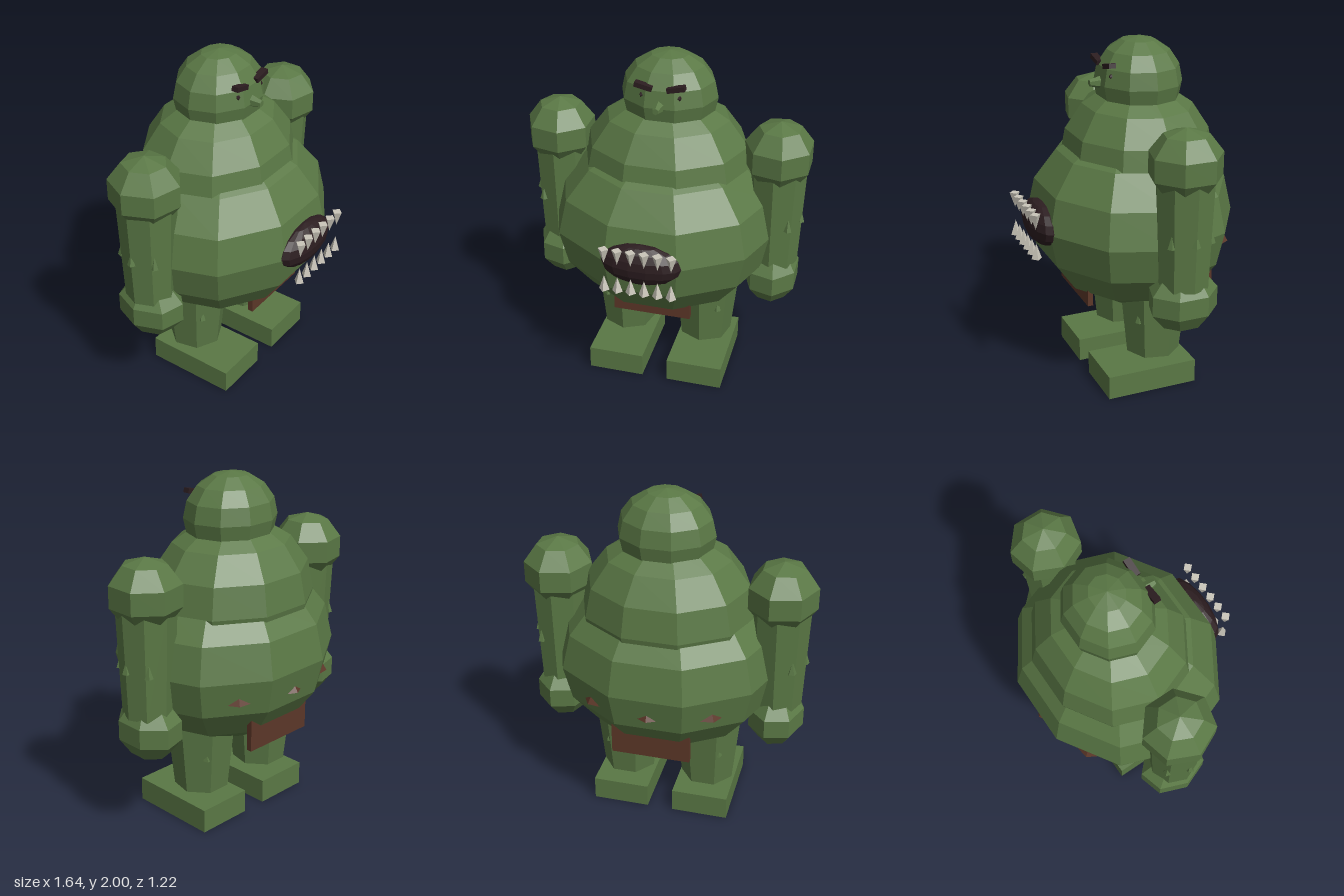
import * as THREE from 'three';

const mat = (name, color) => Object.assign(
  new THREE.MeshStandardMaterial({ color, flatShading: true }), { name });

export function createModel() {
  const skin = mat('green skin', 0x5a7845);
  const dark = mat('dark mouth', 0x2c1d20);
  const leather = mat('brown leather', 0x5c3728);
  const bone = mat('pale bone', 0xcac6ba);
  const model = new THREE.Group();
  model.name = 'ogre';

  const add = (name, geometry, material, pos, parent = model) => {
    const mesh = new THREE.Mesh(geometry, material);
    mesh.name = name;
    mesh.position.set(...pos);
    parent.add(mesh);
    return mesh;
  };
  // Faceted ellipsoid with the given radii
  const blob = (name, material, pos, r, w, h, parent) =>
    add(name, new THREE.SphereGeometry(1, w, h).scale(...r), material, pos, parent);

  // Body
  blob('belly', skin, [0, 0.98, -0.055], [0.665, 0.53, 0.585], 10, 8);
  blob('chest', skin, [0, 1.3, -0.1], [0.5, 0.45, 0.435], 10, 8);
  blob('head', skin, [0.01, 1.75, -0.1], [0.275, 0.25, 0.245], 10, 8);

  // Face
  const nose = new THREE.CylinderGeometry(0.018, 0.045, 0.1, 6).rotateX(Math.PI / 2);
  add('nose', nose, skin, [0.005, 1.758, 0.137]);
  for (const s of [-1, 1]) {
    const brow = add('brow', new THREE.BoxGeometry(0.1, 0.027, 0.04), dark,
      [0.008 + s * 0.09, 1.866, 0.107]);
    brow.rotation.z = s * 0.22;
    blob('eye', dark, [0.01 + s * 0.103, 1.81, 0.093], [0.016, 0.018, 0.022], 6, 4);
  }

  // Belly mouth with two rows of teeth
  blob('mouth', dark, [0.003, 0.99, 0.49], [0.228, 0.122, 0.085], 14, 8);
  const tooth = new THREE.ConeGeometry(0.03, 0.09, 4);
  for (let i = 0; i < 6; i++) {
    const x = -0.178 + i * 0.075;
    add('upperTooth', tooth, bone, [x, 1.07, 0.58]).rotation.z = Math.PI;
    add('lowerTooth', tooth, bone, [x, 0.9, 0.58]);
  }

  // Loincloth flaps
  const flap = new THREE.BoxGeometry(0.45, 0.24, 0.032);
  add('frontFlap', flap, leather, [0.01, 0.645, 0.281]);
  add('backFlap', flap, leather, [0.01, 0.645, -0.47]);

  // Leather studs around the back
  for (const x of [-0.33, 0, 0.33]) {
    const stud = add('backStud', new THREE.ConeGeometry(0.1, 0.085, 4).scale(1, 1, 0.5),
      leather, [x, 0.888, x ? -0.475 : -0.56]);
    stud.rotation.y = -x * 1.8;
  }

  // Limbs
  const wart = new THREE.ConeGeometry(0.025, 0.08, 5);
  for (const s of [-1, 1]) {
    const arm = new THREE.Group();
    arm.name = s > 0 ? 'leftArm' : 'rightArm';
    model.add(arm);
    blob('shoulder', skin, [s * 0.637, 1.45, -0.1], [0.205, 0.2, 0.213], 7, 5, arm);
    const x = s * 0.636;
    add('forearm', new THREE.CylinderGeometry(0.165, 0.142, 0.62, 8), skin, [x, 1.08, -0.1], arm);
    blob('fist', skin, [s * 0.635, 0.682, -0.1], [0.168, 0.18, 0.208], 7, 5, arm);
    for (const [a, y] of [[-0.9, 1.07], [0, 1.08], [0.9, 1.07], [2.3, 1.13]])
      add('armWart', wart, skin,
        [x + s * Math.cos(a) * 0.145, y, -0.1 + Math.sin(a) * 0.145], arm);

    const leg = new THREE.Group();
    leg.name = s > 0 ? 'leftLeg' : 'rightLeg';
    model.add(leg);
    add('shin', new THREE.CylinderGeometry(0.215, 0.158, 0.55, 7), skin,
      [s * 0.242, 0.47, -0.1], leg);
    for (const [a, y] of [[0.9, 0.46], [-1, 0.45], [-2.2, 0.42]])
      add('legWart', wart, skin,
        [s * (0.242 + Math.cos(a) * 0.16), y, -0.1 + Math.sin(a) * 0.16], leg);
    add('foot', new THREE.BoxGeometry(0.332, 0.14, 0.54), skin,
      [0.008 + s * 0.242, 0.075, -0.03], leg);
  }
  return model;
}
